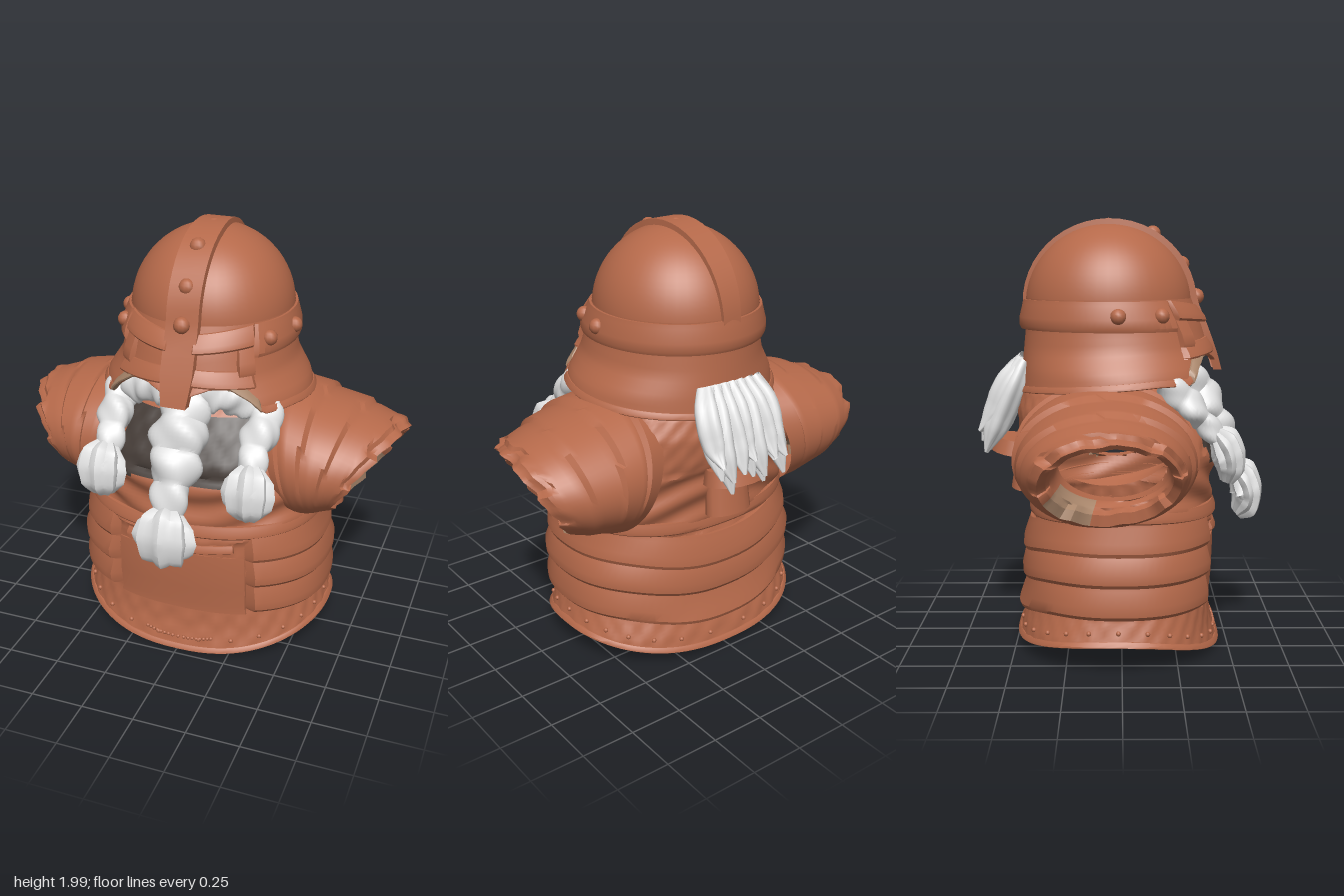
import * as THREE from 'three';
import { toCreasedNormals } from 'three/addons/utils/BufferGeometryUtils.js';

const mat = (name, color) => new THREE.MeshStandardMaterial({ name, color, side: THREE.DoubleSide });
const V = (x, y, z) => new THREE.Vector3(x, y, z);
const TAU = Math.PI * 2, { sin, cos, abs, min, max, sign, PI } = Math;

// piecewise-linear lookup in rows of [key, ...values]
function lookup(rows, k) {
  let i = 0;
  while (i < rows.length - 2 && k > rows[i + 1][0]) i++;
  const a = rows[i], b = rows[i + 1], t = min(1, max(0, (k - a[0]) / (b[0] - a[0])));
  return a.slice(1).map((v, j) => v + (b[j + 1] - v) * t);
}

// surface from a point rule; pick(centre, u, v) gives a material index, or -1 for a hole
function grid(fn, nu, nv, closed, pick = () => 0, crease = 0.7) {
  const cols = closed ? nu : nu + 1, pts = [], lists = [[], []];
  for (let j = 0; j <= nv; j++) for (let i = 0; i < cols; i++) pts.push(fn(i / nu, j / nv));
  for (let j = 0; j < nv; j++) for (let i = 0; i < nu; i++) {
    const i2 = (i + 1) % cols, q = [j * cols + i, j * cols + i2, (j + 1) * cols + i2, (j + 1) * cols + i];
    const mid = V(0, 0, 0);
    q.forEach(k => mid.addScaledVector(pts[k], 0.25));
    const m = pick(mid, i / nu, j / nv);
    if (m >= 0) lists[m].push(q[0], q[1], q[2], q[0], q[2], q[3]);
  }
  const g = new THREE.BufferGeometry().setFromPoints(pts);
  g.setIndex([...lists[0], ...lists[1]]);
  g.addGroup(0, lists[0].length, 0);
  if (lists[1].length) g.addGroup(lists[0].length, lists[1].length, 1);
  return toCreasedNormals(g, crease);
}

// oval section rule from rows of [y, half width, front z, back z]; angle 0 faces front
const section = (rows, p) => (a, y, off = 0) => {
  const [w, f, b] = lookup(rows, y), s = sin(a), c = cos(a);
  return V((w + off) * sign(s) * abs(s) ** p, y, (f + b) / 2 + ((f - b) / 2 + off) * sign(c) * abs(c) ** p);
};
const torsoAt = section([[0, .63, .46, -.5], [.13, .615, .425, -.47], [.25, .575, .41, -.43], [.45, .585, .43, -.44],
  [.65, .56, .43, -.42], [.75, .57, .42, -.43], [.9, .57, .44, -.45], [1, .54, .42, -.48],
  [1.12, .5, .35, -.49], [1.22, .42, .28, -.47], [1.3, .3, .2, -.4]], 0.85);
const helmAt = section([[1.18, .505, .47, -.48], [1.3, .475, .445, -.47], [1.4, .41, .41, -.46],
  [1.5, .385, .38, -.45], [1.63, .375, .33, -.45]], 1);
const hemY = a => 0.13 - (cos(a) > 0 ? 0.125 : 0.085) * cos(a) ** 2;
const fold = a => abs(((a + PI) % TAU + TAU) % TAU - PI);
const brimY = a => lookup([[0, 1.3], [.15, 1.345], [.35, 1.375], [.55, 1.37], [.7, 1.32], [.82, 1.255], [1.2, 1.255], [PI, 1.19]], fold(a))[0];

// raised plate wrapped over a section rule, thickest near its lower edge
function plate(at, a0, a1, lo, hi, th, n = 48) {
  const prof = [[0, -.01], [0, th * .7], [.12, th], [.4, th], [.85, th * .5], [1, th * .35], [1, -.01]];
  return grid((u, v) => {
    const a = a0 + (a1 - a0) * u, [t, o] = prof[Math.round(v * 6)];
    const end = a1 - a0 > 6.2 ? 1 : min(1, u * n, (1 - u) * n);
    const y0 = typeof lo === 'function' ? lo(a) : lo, y1 = typeof hi === 'function' ? hi(a) : hi;
    return at(a, y0 + (y1 - y0) * t, o * end - .004 * (1 - end));
  }, n, 6, false, undefined, 0.5);
}

// hair strand along a path: radii spread along it, knots swell it, flutes groove it, flat thins it in z
function strand(path, radii, knots, flutes, depth, n = 36, flat = 0.65) {
  const curve = new THREE.CatmullRomCurve3(path.map(p => V(...p))), fr = curve.computeFrenetFrames(n);
  const rows = radii.map((r, i) => [i / (radii.length - 1), r]);
  return grid((u, v) => {
    const k = Math.round(v * n), f = u * TAU;
    const swell = knots ? 0.84 + 0.24 * abs(sin(knots * PI * v)) : 1;
    const r = lookup(rows, v)[0] * swell * (1 + depth * cos(flutes * f + (knots ? v * knots * 4 : 0)));
    const d = V(0, 0, 0).addScaledVector(fr.normals[k], r * cos(f)).addScaledVector(fr.binormals[k], r * sin(f));
    d.z *= flat;
    return d.add(curve.getPointAt(v));
  }, 32, n, true);
}

export function createModel() {
  const model = new THREE.Group();
  const leather = mat('copper brown', 0xb5694a), dark = mat('dark cloth', 0x453c37);
  const hair = mat('pale grey hair', 0xe0e0e0), worn = mat('worn tan', 0xa9866b);
  const add = (name, geo, m = leather) => {
    const mesh = new THREE.Mesh(geo, m);
    mesh.name = name;
    model.add(mesh);
    return mesh;
  };
  const ball = new THREE.SphereGeometry(1, 12, 8);
  const stud = (name, p, r) => {
    const s = add(name, ball);
    s.position.copy(p);
    s.scale.setScalar(r);
  };

  // hollow torso with arm holes and a dark neck opening
  add('torso', grid((u, v) => {
    const a = u * TAU, y = hemY(a) + (1.3 - hemY(a)) * v;
    const crease = y > .62 && y < .95 ? .01 * sin(y * 42 + 3 * cos(a * 3)) : .004 * sin(a * 31) * sin(y * 50);
    return torsoAt(a, y, crease);
  }, 128, 72, true, c => {
    if (abs(c.x) > .35 && ((c.z + .05) / .25) ** 2 + ((c.y - .93) / .17) ** 2 < 1) return -1;
    return c.z > 0 && abs(c.x) < .3 && c.y > .9 && c.y < 1.2 ? 1 : 0;
  }), [leather, dark]);

  // waist lames, belt, belly panel and hem
  [.25, .395, .53].forEach((y, i) => {
    const dip = a => -.075 * max(0, -cos(a)) ** 5;
    add('waistLame', plate(torsoAt, .5, TAU - .5, a => y + dip(a), a => y + .15 + dip(a), .045 - i * .006, 72));
  });
  add('bellyPanel', plate(torsoAt, -.52, .52, .22, .54, .01));
  add('belt', plate(torsoAt, -.42, .42, a => .545 + abs(a) * .06, a => .585 + abs(a) * .06, .018));
  add('chestStrap', plate(torsoAt, 0, TAU, a => .67 - .03 * cos(a) ** 2, a => .73 - .03 * cos(a) ** 2, .018, 80));
  add('hemBand', plate(torsoAt, 0, TAU, hemY, a => hemY(a) + .025, .012, 96));
  for (let i = 0; i < 26; i++) {
    const a = (i + .5) / 26 * TAU;
    stud('hemStud', torsoAt(a, hemY(a) + .06, .002), .011);
  }
  for (let i = -8; i <= 8; i++) stud('hemBead', torsoAt(i * .026, .065 + .00025 * i * i, .003), .009);

  // layered sleeves: rings of [step, top x, top y, bottom x, bottom y, z centre, half depth]
  const rings = [[0, .28, 1.26, .48, .62, -.07, .38], [1, .42, 1.255, .53, .64, -.07, .4], [2, .58, 1.205, .57, .66, -.07, .39],
    [3, .76, 1.15, .61, .67, -.07, .355], [4, .91, 1.08, .66, .69, -.05, .3], [5, .895, 1.06, .66, .74, -.05, .265],
    [6, .8, 1.08, .58, .78, -.04, .24], [7, .5, 1.08, .5, .78, -.04, .24]];
  for (const s of [1, -1]) add(s > 0 ? 'leftSleeve' : 'rightSleeve', grid((u, v) => {
    const t = v * 7, f = u * TAU, [tx, ty, bx, by, zc, hz] = lookup(rings, t);
    const slant = t < 4 ? (t + .15 * sin(f) * sin(t * PI / 4) + .25) % 1 : 0;
    const lame = t < 4 ? 1 + .07 * slant * min(1, max(0, cos(f) + .5)) : 1;
    const rag = t > 3.6 && t < 5.4 ? .012 * sin(f * 9) + .008 * sin(f * 17 + 1) : 0;
    const k = cos(f) / 2 * lame, dz = sin(f) * hz * lame;
    const tilt = t > 2 && t < 6 ? .2 * min(1, (t - 2) / 2) : 0;
    return V(s * ((tx + bx) / 2 + (tx - bx) * k - dz * tilt + rag), (ty + by) / 2 + (ty - by) * k + rag * .5, zc + dz);
  }, 64, 56, true, (c, u, v) => v > .56 && v < .84 && u > .54 && u < .68 ? 1 : 0), [leather, worn]);

  // helmet dome, flared skirt, band and brow
  const dome = new THREE.SphereGeometry(1, 48, 20, 0, TAU, 0, PI / 2);
  dome.scale(.375, .375, .39);
  dome.translate(0, 1.6, -.06);
  add('helmetDome', dome);
  add('helmetSkirt', grid((u, v) => {
    const a = u * TAU, y = brimY(a);
    return helmAt(a, y + (1.63 - y) * v);
  }, 96, 16, true));
  add('helmetBrim', plate(helmAt, 0, TAU, brimY, a => brimY(a) + .03, .012, 96));
  add('helmetBand', plate(helmAt, .8, TAU - .8, 1.49, 1.625, .03, 64));
  for (const s of [1, -1]) {
    const part = (name, a0, a1, lo, hi, th, m) => add(name, plate(helmAt, s * a0, s * a1, lo, hi, th, 14), m);
    part('brow', .1, .86, a => 1.515 + .03 * abs(a), a => 1.59 + .045 * abs(a), .032);
    part('cheekGuard', .1, .84, a => 1.39 - .03 * abs(a), a => 1.46 - .03 * abs(a), .024);
    part('eyeFrame', .64, .84, 1.42, 1.56, .026);
    part('wornBrim', .5, .82, a => brimY(a) - .001, a => brimY(a) + .055, .02, worn);
    for (const a of [1.02, 1.5]) stud('bandRivet', helmAt(s * a, 1.56, .02), .036);
  }

  // crest strip from nose guard over the dome to the back
  const spine = [[.45, 1.295], [.432, 1.36], [.408, 1.43], [.378, 1.51], [.34, 1.6]];
  for (let i = 1; i <= 24; i++) {
    const e = i / 24 * PI;
    spine.push([-.06 + .39 * cos(e), 1.6 + .375 * sin(e)]);
  }
  const rib = [[-1, -.02], [-.95, 1], [.95, 1], [1, -.02]];
  add('crest', grid((u, v) => {
    const k = Math.round(v * (spine.length - 1)), [z, y] = spine[k], [w, o] = rib[Math.round(u * 3)];
    const d = V(0, max(0, y - 1.6), z + .06).normalize();
    const back = max(0, k - 14) / 14, half = k < 2 ? .06 + k * .01 : .078 - .03 * back;
    const lift = o > 0 ? .02 - .008 * back : o;
    return V(w * half, y + d.y * lift, z + d.z * lift);
  }, 3, spine.length - 1, false));
  for (const [z, y] of [[.35, 1.635], [.28, 1.785], [.145, 1.925], [-.06, 1.96]]) stud('crestRivet', V(0, y, z), .038);

  // beard: moustache, centre braid and side braids, each ending in a tassel
  add('centreBraid', strand([[0, 1.3, .27], [0, 1.2, .35], [0, 1.06, .43], [0, .93, .495], [0, .8, .55]],
    [.09, .125, .125, .095, .07], 4, 3, .1), hair);
  add('centreTassel', strand([[0, .82, .54], [0, .75, .59], [0, .67, .6], [0, .59, .555]],
    [.06, .12, .14, .12, .05], 0, 8, .12, 16, .5), hair);
  for (const s of [1, -1]) {
    add('moustache', strand([[0, 1.28, .3], [s * .14, 1.3, .29], [s * .26, 1.27, .26], [s * .37, 1.21, .2]],
      [.07, .075, .07, .05], 5, 3, .12), hair);
    add('sideBraid', strand([[s * .33, 1.27, .18], [s * .35, 1.19, .27], [s * .34, 1.1, .36], [s * .345, 1, .44]],
      [.07, .085, .07, .055], 3, 3, .1), hair);
    add('sideTassel', strand([[s * .345, 1.04, .42], [s * .35, .97, .47], [s * .35, .9, .485], [s * .35, .82, .475]],
      [.05, .1, .112, .1, .05], 0, 8, .12, 16, .6), hair);
  }

  // loose hair at the back and the pouch below it
  for (let layer = 0; layer < 2; layer++) for (let i = -3; i <= 3; i++) {
    const x = i * .054 + layer * .015, low = .95 + .05 * sin(i * 2.3 + layer) + layer * .05;
    add('backLock', strand([[x * .8, 1.34, -.455], [x, 1.24, -.5 - layer * .025], [x * 1.05 + .012 * sin(i * 4), 1.1, -.56 - layer * .03],
      [x * 1.1, low, -.63 - layer * .03]], [.035, .055, .058, .05, .008], 0, 4, .13, 14, 1), hair);
  }
  const lump = (name, w, h, d, y, z, tilt) => {
    const b = add(name, new THREE.CylinderGeometry(.9, 1, 1, 16));
    b.position.set(0, y, z);
    b.scale.set(w, h, d);
    b.rotation.x = tilt;
  };
  lump('pouchFlap', .16, .07, .12, .93, -.5, .15);
  lump('pouch', .12, .18, .07, .81, -.45, .12);
  return model;
}
